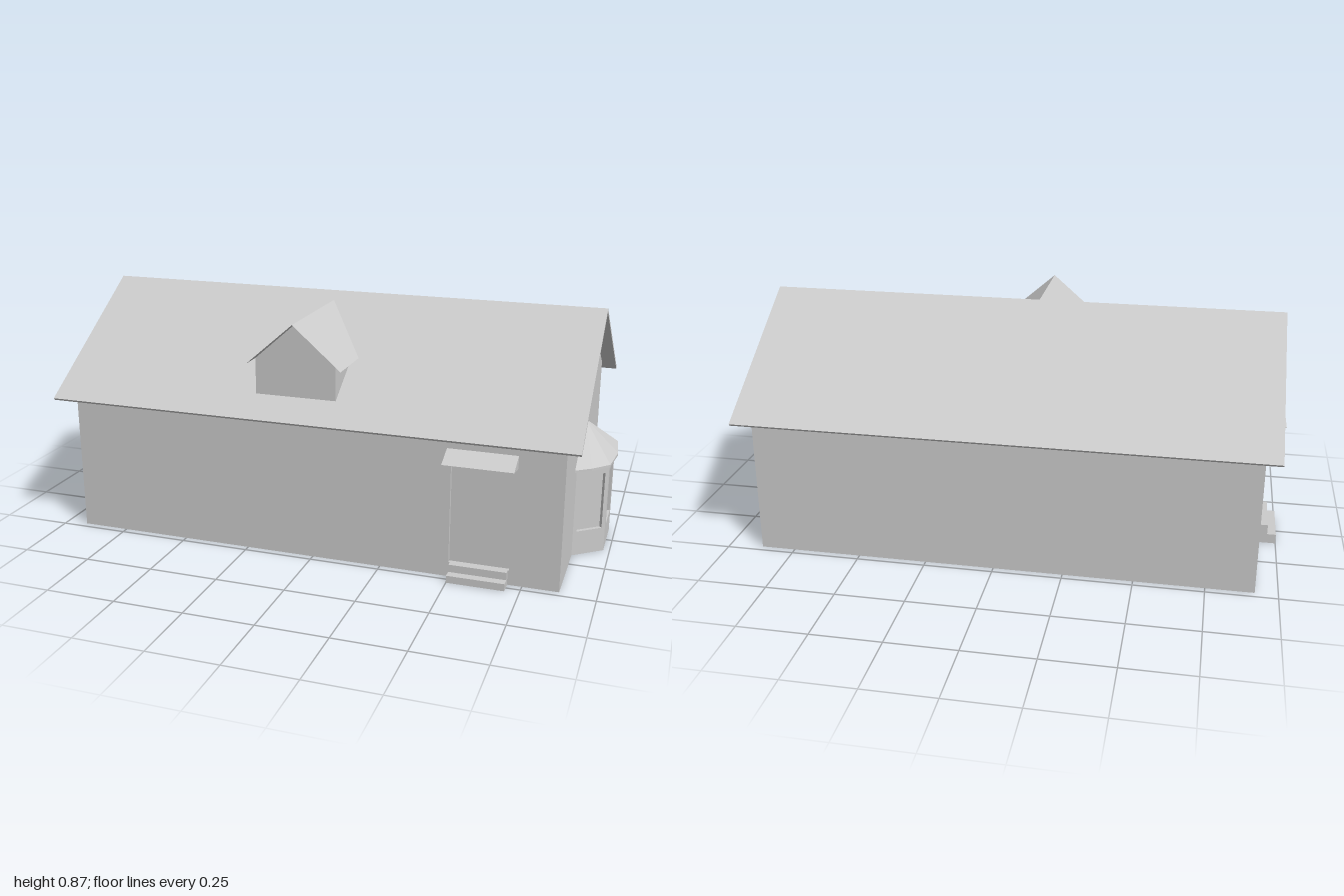
import * as THREE from 'three';

const material = new THREE.MeshStandardMaterial({ color: 0xcccccc, side: THREE.DoubleSide });

function addMesh(parent, name, geometry) {
  const mesh = new THREE.Mesh(geometry, material);
  mesh.name = name;
  parent.add(mesh);
  return mesh;
}

const outline = (pts) => new THREE.Shape(pts.map(([x, y]) => new THREE.Vector2(x, y)));

// Flat polygons, each given by its corners and fanned from the first one
function panels(polygons) {
  const pos = [];
  for (const p of polygons) {
    for (let i = 1; i < p.length - 1; i++) pos.push(...p[0], ...p[i], ...p[i + 1]);
  }
  const g = new THREE.BufferGeometry();
  g.setAttribute('position', new THREE.Float32BufferAttribute(pos, 3));
  g.computeVertexNormals();
  return g;
}

// Side profile of [z, y] points, extruded across x
function extrudeAcross(pts, x0, x1) {
  const g = new THREE.ExtrudeGeometry(outline(pts), { depth: x1 - x0, bevelEnabled: false });
  return g.rotateY(-Math.PI / 2).translate(x1, 0, 0);
}

// Wall facing local +z with one rectangular recess [x0, x1, y0, y1]
function recessedWall(name, pts, [x0, x1, y0, y1], depth) {
  const group = new THREE.Group();
  group.name = name;
  const shape = outline(pts);
  const c = [[x0, y0], [x1, y0], [x1, y1], [x0, y1]];
  shape.holes.push(new THREE.Path(c.map(([x, y]) => new THREE.Vector2(x, y))));
  addMesh(group, name + 'Face', new THREE.ShapeGeometry(shape));
  const back = c.map(([x, y]) => [x, y, -depth]);
  const reveals = c.map(([x, y], i) => {
    const j = (i + 1) % 4;
    return [[x, y, 0], [...c[j], 0], back[j], back[i]];
  });
  addMesh(group, name + 'Recess', panels([back, ...reveals]));
  return group;
}

// Wedge canopy and two hollow steps, placed in front of a wall at z = 0
function addEntrance(wall, cx, { canopy, steps, step1, step2, shift }) {
  addMesh(wall, 'doorCanopy', extrudeAcross(canopy, cx + shift - 0.12, cx + shift + 0.12));
  const [d1, h1] = step1, [d2, h2] = step2;
  const profile = [[0, 0], [d1, 0], [d1, h1], [d2, h1], [d2, h2], [0, h2]];
  const a = cx - steps, b = cx + steps;
  const faces = [a, b].map((x) => profile.map(([z, y]) => [x, y, z]));
  for (let i = 1; i < 5; i++) {
    const [z0, y0] = profile[i], [z1, y1] = profile[i + 1];
    faces.push([[a, y0, z0], [b, y0, z0], [b, y1, z1], [a, y1, z1]]);
  }
  addMesh(wall, 'doorSteps', panels(faces));
}

function createBay() {
  const bay = new THREE.Group();
  bay.name = 'bayWindow';
  // Three facets, each with a recessed window
  const plan = [[0.875, 0.175], [0.978, 0.095], [0.978, -0.097], [0.875, -0.177]];
  for (let i = 0; i < 3; i++) {
    const [x, z] = plan[i], dx = plan[i + 1][0] - x, dz = plan[i + 1][1] - z;
    const w = Math.hypot(dx, dz), h = 0.338;
    const m = i === 1 ? 0.029 : 0.014;
    const facet = recessedWall('bayFacet', [[0, 0], [w, 0], [w, h], [0, h]], [m, w - m, 0.09, 0.3], 0.014);
    facet.position.set(x, 0, z);
    facet.rotation.y = Math.atan2(-dz, dx);
    bay.add(facet);
  }
  // Faceted half-cone roof with a thin edge
  const rim = [[0.875, 0.228], [0.928, 0.19], [0.984, 0.132], [0.998, 0], [0.984, -0.132], [0.928, -0.19], [0.875, -0.23]];
  const low = 0.334, high = 0.343, faces = [];
  for (let i = 0; i < rim.length - 1; i++) {
    const [x0, z0] = rim[i], [x1, z1] = rim[i + 1];
    faces.push([[0.875, 0.46, 0], [x0, high, z0], [x1, high, z1]]);
    faces.push([[x0, low, z0], [x1, low, z1], [x1, high, z1], [x0, high, z0]]);
    faces.push([[0.875, low, 0], [x1, low, z1], [x0, low, z0]]);
  }
  addMesh(bay, 'bayRoof', panels(faces));
  return bay;
}

function createDormer() {
  const dormer = new THREE.Group();
  dormer.name = 'dormer';
  const cx = -0.067, half = 0.147, zf = 0.447;
  const l = cx - half, r = cx + half;
  // Gabled front and triangular cheeks
  const front = [[l, 0.575, zf], [r, 0.575, zf], [r, 0.745, zf], [cx, 0.836, zf], [l, 0.745, zf]];
  front[2][1] = front[4][1] = 0.707;
  const cheeks = [l, r].map((x) => [[x, 0.555, zf], [x, 0.707, zf], [x, 0.707, 0.24]]);
  addMesh(dormer, 'dormerWalls', panels([front, ...cheeks]));
  // Two thin roof slopes running back into the main roof
  const slopes = [-1, 1].map((s) => {
    const ex = cx + s * 0.173;
    return [[cx, 0.84, 0.47], [ex, 0.69, 0.47], [ex, 0.69, 0.27], [cx, 0.84, 0.04]];
  });
  addMesh(dormer, 'dormerRoof', panels(slopes));
  return dormer;
}

export function createModel() {
  const house = new THREE.Group();
  house.name = 'house';
  const left = -0.92, right = 0.875, d = 0.475, eave = 0.55, peak = 0.858;
  const gable = [[-d, 0], [d, 0], [d, eave], [0, peak], [-d, eave]];

  // Front wall with its door
  const front = recessedWall('frontWall', [[left, 0], [right, 0], [right, eave], [left, eave]], [0.495, 0.705, 0.053, 0.42], 0.014);
  front.position.z = d;
  addEntrance(front, 0.6, {
    canopy: [[0, 0.42], [0.077, 0.433], [0, 0.465]],
    steps: 0.1, step1: [0.051, 0.026], step2: [0.02, 0.053], shift: 0,
  });
  house.add(front);

  // End wall with the second door
  const end = recessedWall('endWall', gable, [-0.1, 0.105, 0.073, 0.46], 0.014);
  end.position.x = left;
  end.rotation.y = -Math.PI / 2;
  addEntrance(end, 0, {
    canopy: [[0, 0.46], [0.08, 0.478], [0, 0.508]],
    steps: 0.1, step1: [0.08, 0.036], step2: [0.048, 0.073], shift: -0.005,
  });
  house.add(end);

  // Bay end wall and plain back wall; the underside stays open
  addMesh(house, 'bayEndWall', panels([gable.map(([z, y]) => [right, y, -z])]));
  addMesh(house, 'backWall', panels([[[right, 0, -d], [left, 0, -d], [left, eave, -d], [right, eave, -d]]]));

  // Thin overhanging main roof
  addMesh(house, 'mainRoof', extrudeAcross(
    [[0, 0.868], [-0.545, 0.516], [-0.538, 0.508], [0, 0.856], [0.538, 0.508], [0.545, 0.516]], -0.973, 0.927));

  house.add(createBay(), createDormer());
  return house;
}
